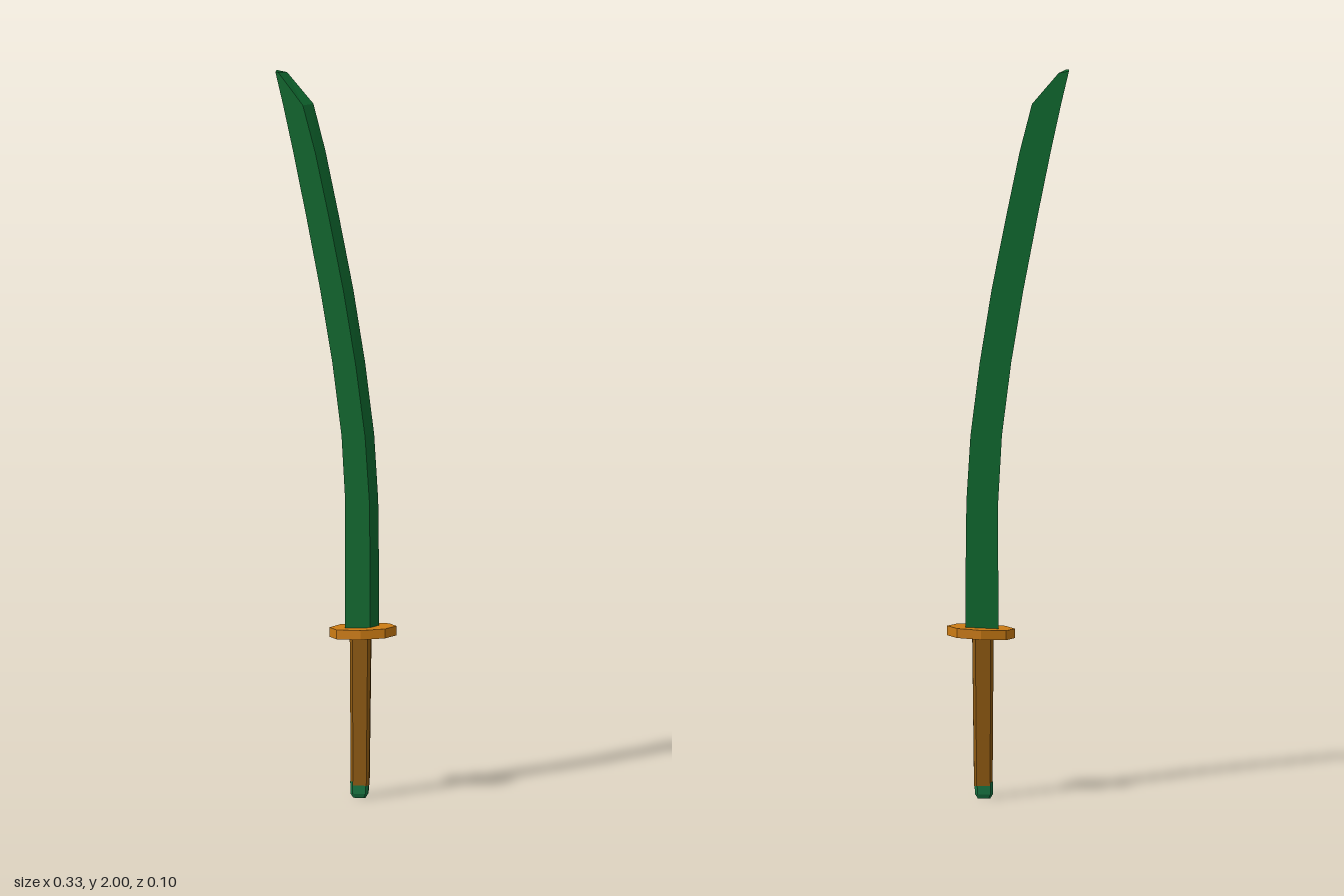
import * as THREE from 'three';

// Flat-shaded solid through rings of [x, y, z], each ring counter-clockwise from above
function loft(name, color, rings) {
  const pos = [];
  const tri = (a, b, c) => pos.push(...a, ...b, ...c);
  const n = rings[0].length;
  for (let r = 0; r < rings.length - 1; r++) {
    const lo = rings[r], hi = rings[r + 1];
    for (let i = 0; i < n; i++) {
      const j = (i + 1) % n;
      tri(lo[i], lo[j], hi[j]);
      tri(lo[i], hi[j], hi[i]);
    }
  }
  const bottom = rings[0], top = rings[rings.length - 1];
  for (let i = 1; i < n - 1; i++) {
    tri(bottom[0], bottom[i + 1], bottom[i]);
    tri(top[0], top[i], top[i + 1]);
  }
  const geo = new THREE.BufferGeometry();
  geo.setAttribute('position', new THREE.Float32BufferAttribute(pos, 3));
  geo.computeVertexNormals();
  const mesh = new THREE.Mesh(geo, new THREE.MeshStandardMaterial({ color, flatShading: true }));
  mesh.name = name;
  return mesh;
}

// Rectangle with chamfered corners, used for the grip and its cap
function chamferRing(x, y, z, hx, hz) {
  const cx = hx * 0.72, cz = hz * 0.5;
  return [[-cx, hz], [cx, hz], [hx, cz], [hx, -cz], [cx, -hz], [-cx, -hz], [-hx, -cz], [-hx, cz]]
    .map(([dx, dz]) => [x + dx, y, z + dz]);
}

export function createModel() {
  const group = new THREE.Group();

  // Curved blade: flat spine and back, bevelled cutting edge on the front
  // Stations: [y, spine x, ridge x, edge x]
  const stations = [
    [0.46, 0.025, 0.094, 0.114], [0.64, 0.026, 0.094, 0.114], [0.82, 0.026, 0.092, 0.112],
    [1.0, 0.016, 0.08, 0.101], [1.2, -0.009, 0.054, 0.076], [1.4, -0.042, 0.021, 0.044],
    [1.6, -0.08, -0.018, 0.005], [1.78, -0.116, -0.056, -0.032], [1.91, -0.144, -0.09, -0.065],
    [1.995, -0.165, -0.158, -0.137],
  ];
  group.add(loft('blade', 0x0f6b30, stations.map(([y, spine, ridge, edge], i) => {
    const t = i / (stations.length - 1);
    const front = 0.015 - 0.005 * t, back = -0.014 - 0.002 * t;
    const tip = i === stations.length - 1 ? 0.005 : 0;
    return [[spine, y + tip, front], [ridge, y + tip, front], [edge, y, back], [spine, y + tip, back]];
  })));

  // Eight-sided guard, tilted slightly
  const outline = [[-0.092, 0], [-0.068, 0.035], [0, 0.05], [0.065, 0.034],
    [0.091, -0.002], [0.065, -0.037], [0, -0.05], [-0.068, -0.036]];
  group.add(loft('guard', 0xcc7c14, [0.445, 0.471].map((y) =>
    outline.map(([x, z]) => [0.073 + x, y + x * 0.05, z]))));

  // Grip, narrowing towards the end
  group.add(loft('grip', 0x8f5a10, [
    chamferRing(0.066, 0.035, 0.007, 0.025, 0.011),
    chamferRing(0.067, 0.455, 0.006, 0.029, 0.012),
  ]));

  // Rounded end cap
  group.add(loft('endCap', 0x167542, [
    chamferRing(0.064, 0, 0.007, 0.017, 0.007),
    chamferRing(0.064, 0.012, 0.007, 0.024, 0.011),
    chamferRing(0.065, 0.045, 0.007, 0.0255, 0.0105),
  ]));

  return group;
}
